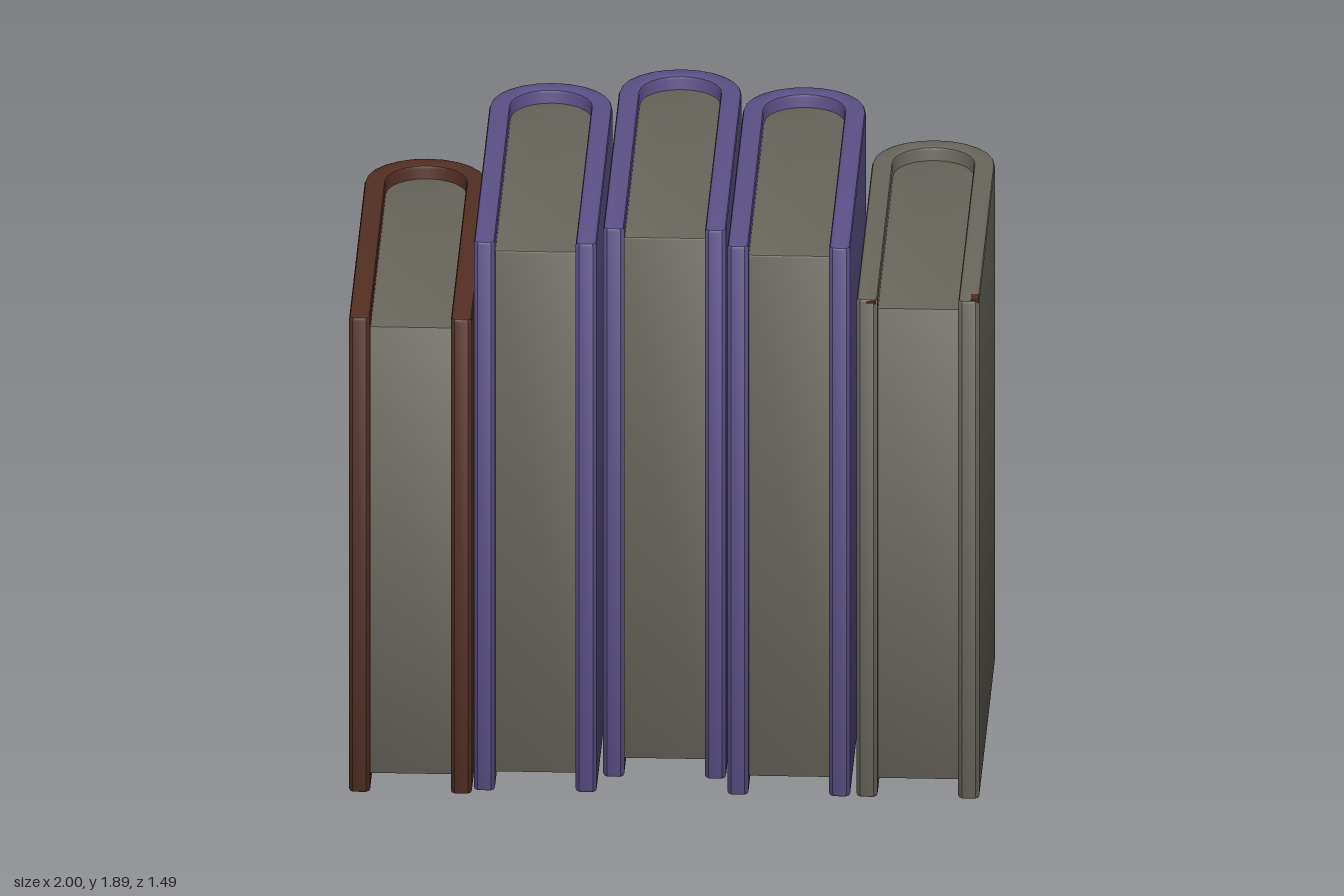
import * as THREE from 'three';
import { toCreasedNormals } from 'three/addons/utils/BufferGeometryUtils.js';

const mat = (name, color) => {
  const m = new THREE.MeshStandardMaterial({ color });
  m.name = name;
  return m;
};

const R = 0.195;      // half the width of a book, and the radius of its spine
const T = 0.067;      // cover thickness
const LENGTH = 1.33;  // spine to front edge

function add(group, name, geometry, material) {
  const mesh = new THREE.Mesh(geometry, material);
  mesh.name = name;
  group.add(mesh);
  return mesh;
}

// Extrudes a plan outline (x, -z) upwards from y0 to y1 with a small bevel
function standUp(shape, y0, y1, bevel) {
  const g = new THREE.ExtrudeGeometry(shape, {
    depth: y1 - y0 - 2 * bevel, curveSegments: 6,
    bevelThickness: bevel, bevelSize: bevel, bevelOffset: -bevel, bevelSegments: 2,
  });
  g.rotateX(-Math.PI / 2).translate(0, y0 + bevel, 0);
  return toCreasedNormals(g, 0.5);
}

// U-shaped cover; the spine arc is centred on the origin, the front edge at y = -front
function coverShape(front) {
  const r = R - T, c = 0.012;
  const s = new THREE.Shape();
  s.moveTo(R, 0);
  s.absarc(0, 0, R, 0, Math.PI, false);
  s.lineTo(-R, -front + c);
  s.lineTo(-R + c, -front);
  s.lineTo(-r - c, -front);
  s.lineTo(-r, -front + c);
  s.lineTo(-r, 0);
  s.absarc(0, 0, r, Math.PI, 0, true);
  s.lineTo(r, -front + c);
  s.lineTo(r + c, -front);
  s.lineTo(R - c, -front);
  s.lineTo(R, -front + c);
  return s;
}

function pagesShape(front) {
  const r = R - T + 0.005;
  const s = new THREE.Shape();
  s.moveTo(r, -front);
  s.lineTo(r, 0);
  s.absarc(0, 0, r, 0, Math.PI, false);
  s.lineTo(-r, -front);
  return s;
}

// Blot wrapped on the curved spine
function spineSpot(y, w, h, wobble) {
  const g = new THREE.RingGeometry(0, 1, 28, 4);
  const p = g.attributes.position;
  const r = R + 0.003;
  for (let i = 0; i < p.count; i++) {
    const t = Math.atan2(p.getY(i), p.getX(i));
    const k = 1 + wobble * (Math.sin(3 * t + 1) + Math.sin(4 * t));
    const a = -p.getX(i) * k * w / 2 / r;
    p.setXYZ(i, r * Math.sin(a), y + p.getY(i) * k * h / 2, -r * Math.cos(a));
  }
  g.computeVertexNormals();
  return g;
}

// Uneven brush stroke lying on the -x face, running along z
function coverStroke(z0, z1, y, half, phase) {
  const n = 18, top = [], bottom = [];
  for (let i = 0; i <= n; i++) {
    const u = i / n, z = z0 + (z1 - z0) * u;
    const ends = Math.pow(Math.max(0, 1 - Math.pow(2 * u - 1, 6)), 0.5);
    const h = half * ends * (0.8 + 0.25 * Math.cos(4 * Math.PI * u + phase));
    const mid = y + 0.012 * Math.sin(9 * u + phase);
    top.unshift(new THREE.Vector2(z, mid + h));
    bottom.push(new THREE.Vector2(z, mid - h));
  }
  const g = new THREE.ShapeGeometry(new THREE.Shape([...bottom, ...top.slice(1, -1)]));
  return g.rotateY(-Math.PI / 2).translate(-R - 0.003, 0, 0);
}

export function createModel() {
  const grey = mat('paper grey', 0x69665d);
  const purple = mat('purple cover', 0x5b5086);
  const brown = mat('brown cover', 0x532f23);

  const model = new THREE.Group();
  model.name = 'bookRow';

  // name, centre x, back of the spine z, height, cover colour, spine spot [y, w, h, wobble]
  const books = [
    ['brownBook', -0.805, -0.59, 1.635, brown, [1.38, 0.125, 0.21, 0.06]],
    ['purpleBookRight', -0.41, -0.62, 1.89, purple, [1.66, 0.07, 0.11, 0.03]],
    ['purpleBookMiddle', -0.005, -0.75, 1.89, purple, [1.66, 0.07, 0.11, 0.03]],
    ['purpleBookLeft', 0.395, -0.62, 1.89, purple, [1.66, 0.07, 0.11, 0.03]],
    ['greyBook', 0.805, -0.62, 1.715, grey, null],
  ];

  for (const [name, x, back, height, cover, spot] of books) {
    const book = new THREE.Group();
    book.name = name;
    book.position.set(x, 0, back + R);
    const front = LENGTH - R;
    add(book, 'cover', standUp(coverShape(front), 0, height, 0.012), cover);
    add(book, 'pages', standUp(pagesShape(front - 0.037), 0.052, height - 0.045, 0.008), grey);
    if (spot) add(book, 'spineSpot', spineSpot(...spot), grey);

    // Title strokes on the outer face of the brown book
    if (cover === brown) {
      const strokes = [[-0.19, 0.43, 1.19, 0.052, 0], [-0.07, 0.28, 0.94, 0.065, 2], [-0.2, 0.43, 0.675, 0.055, 0.5]];
      for (const [z0, z1, y, half, phase] of strokes) {
        const dz = -(back + R);
        add(book, 'coverStroke', coverStroke(z0 + dz, z1 + dz, y, half, phase), grey);
      }
    }

    // Worn corners and lower edge of the grey book
    if (cover === grey) {
      const worn = [
        [0.18, height - 0.004, front - 0.03, 0.025, 0.009, 0.05],
        [-0.15, height - 0.012, front - 0.004, 0.03, 0.01, 0.009],
        [-R + T - 0.008, 0.006, front - 0.48, 0.012, 0.009, 0.9],
      ];
      for (const [px, py, pz, w, h, d] of worn) {
        add(book, 'wornEdge', new THREE.BoxGeometry(w, h, d), brown).position.set(px, py, pz);
      }
    }
    model.add(book);
  }
  return model;
}
